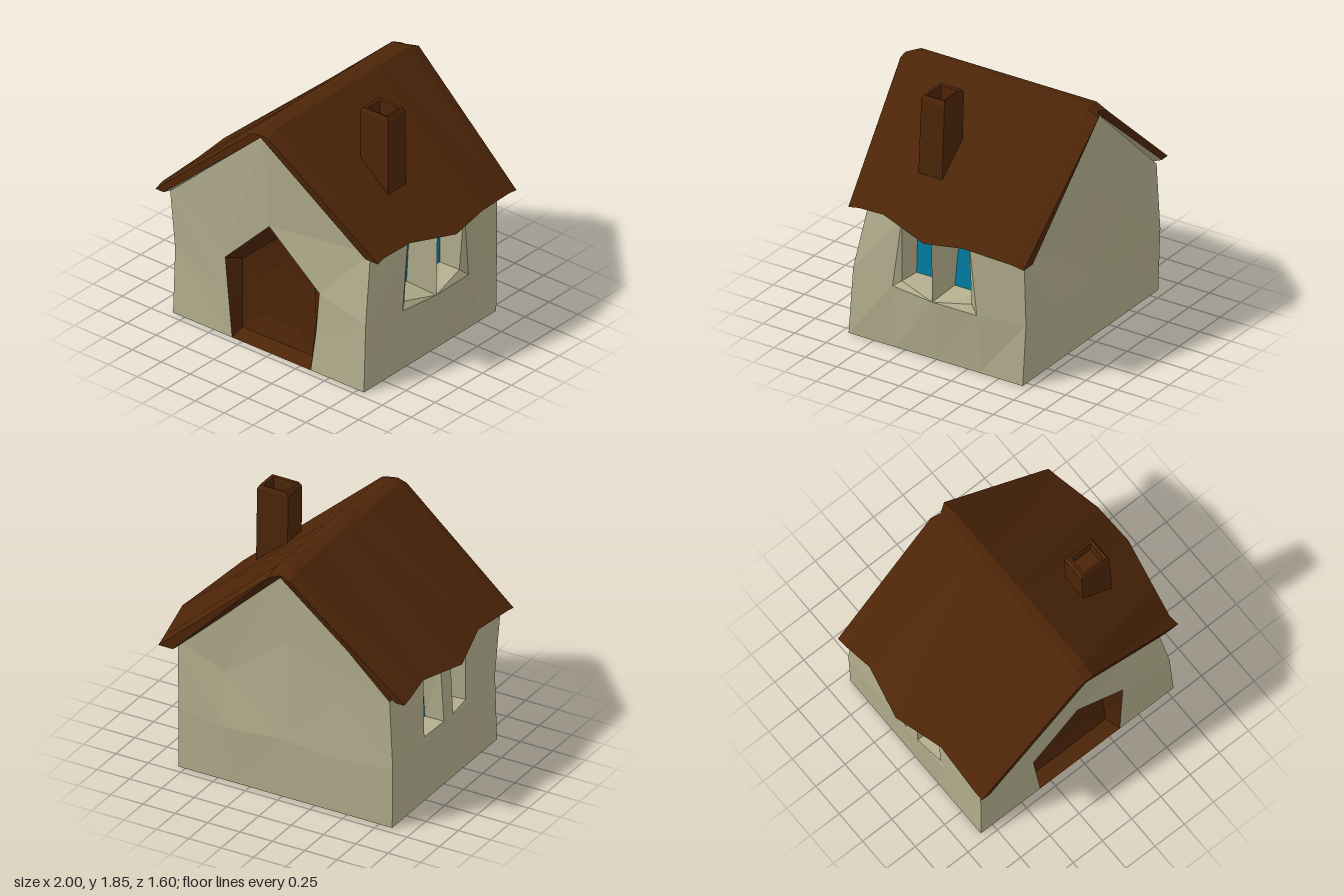
import * as THREE from 'three';

const material = (color) => new THREE.MeshStandardMaterial({ color, flatShading: true, side: THREE.DoubleSide });

// Surface through rows of points; faces point outwards when each next row lies left of travel.
function loft(rows, flip = false) {
  const pos = [];
  const tri = (a, b, c) => pos.push(...a, ...(flip ? c : b), ...(flip ? b : c));
  for (let i = 0; i + 1 < rows.length; i++) {
    for (let j = 0; j + 1 < rows[i].length; j++) {
      const a = rows[i][j], b = rows[i][j + 1], c = rows[i + 1][j + 1], d = rows[i + 1][j];
      tri(a, b, c);
      tri(a, c, d);
    }
  }
  const geo = new THREE.BufferGeometry();
  geo.setAttribute('position', new THREE.Float32BufferAttribute(pos, 3));
  geo.computeVertexNormals();
  return geo;
}

const close = (ring) => [...ring, ring[0]];
const repeat = (p, n) => Array(n).fill(p);

export function createModel() {
  const house = new THREE.Group();
  house.name = 'cottage';
  const plaster = material(0xb2ad8c), wood = material(0x4d2508), glass = material(0x037da5);
  const add = (name, rows, mat, parent = house, flip = false) => {
    const mesh = new THREE.Mesh(loft(rows, flip), mat);
    mesh.name = name;
    parent.add(mesh);
  };

  // Wall outlines: left foot, up over the gable, down to the right foot
  const front = [[-0.85, 0, 0.7], [-0.84, 0.5, 0.69], [-0.87, 0.97, 0.71], [-0.02, 1.74, 0.74],
    [0.75, 1.0, 0.57], [0.79, 0.5, 0.67], [0.8, 0, 0.7]];
  const back = [[-0.85, 0, -0.69], [-0.86, 0.46, -0.7], [-0.83, 0.96, -0.69], [-0.02, 1.73, -0.71],
    [0.8, 0.97, -0.7], [0.79, 0.46, -0.71], [0.8, 0, -0.69]];

  // Front wall around the pointed doorway
  const doorway = [[-0.34, 0, 0.7], [-0.37, 0.3, 0.7], [-0.4, 0.6, 0.7], [-0.02, 0.98, 0.7],
    [0.39, 0.6, 0.67], [0.37, 0.3, 0.68], [0.34, 0, 0.7]];
  add('frontWall', [doorway, front], plaster);

  // Door: splayed frame and slightly dished leaf
  const leaf = [[-0.33, 0.04, 0.6], [-0.33, 0.3, 0.6], [-0.33, 0.57, 0.6], [-0.02, 0.85, 0.6],
    [0.28, 0.57, 0.58], [0.29, 0.3, 0.59], [0.3, 0.04, 0.6]];
  const dish = leaf.map(([x, y]) => [-0.02 + (x + 0.02) * 0.5, 0.35 + (y - 0.35) * 0.55, 0.57]);
  add('doorFrame', [close(leaf), close(doorway)], wood);
  add('door', [repeat([-0.02, 0.32, 0.57], 8), close(dish), close(leaf)], wood);

  // Back wall with uneven facets
  const patch = [[-0.4, 0, -0.69], [-0.42, 0.42, -0.715], [-0.45, 0.82, -0.69], [-0.02, 1.18, -0.69],
    [0.45, 0.82, -0.68], [0.42, 0.42, -0.715], [0.4, 0, -0.69]];
  add('backWall', [close(back), close(patch), repeat([-0.02, 0.45, -0.71], 8)], plaster);
  add('floor', [[back[0], back[6]], [front[0], front[6]]], plaster);

  // Side walls, each with a pair of recessed windows: a wedge-shaped post on the left, a flat one on the right
  const panes = [
    [[0.52, 0.255], [0.95, 0.245], [0.91, 0.04], [0.52, 0.07]],
    [[0.51, -0.05], [0.91, -0.09], [0.94, -0.285], [0.51, -0.28]],
  ];
  const sides = [
    { name: 'left', k: 6, step: -1, foot: 0.8, sill: [0.83, 0.85, 0.84], top: [0.82, 0.86, 0.85],
      glassX: 0.65, inset: 0.03, postFoot: [0, 0.455, 0], postTop: [0, 0] },
    { name: 'right', k: 0, step: 1, foot: -0.85, sill: [-0.86, -0.88, -0.87], top: [-0.86, -0.87, -0.86],
      glassX: -0.73, inset: 0.005, postFoot: [0.065, 0.515, -0.055], postTop: [0.045, -0.085] },
  ];
  for (const s of sides) {
    const g = new THREE.Group();
    g.name = s.name + 'Side';
    house.add(g);
    const flip = s.foot < 0;
    const [f0, f1, f2] = [0, 1, 2].map((i) => front[s.k + s.step * i]);
    const [b0, b1, b2] = [0, 1, 2].map((i) => back[s.k + s.step * i]);
    const foot = [f0, ...[0.33, 0, -0.35].map((z) => [s.foot, 0, z]), b0];
    const sill = [f1, [s.sill[0], 0.475, 0.33], [s.sill[1], 0.455, 0], [s.sill[2], 0.45, -0.35], b1];
    // Feet and heads of the front jamb, the post's two edges and the rear jamb
    const [z1, postY, z2] = s.postFoot;
    const feet = [
      [s.sill[0] + s.step * s.inset, 0.515, 0.275], [s.sill[1], postY, z1],
      [s.sill[1], postY, z2], [s.sill[2] + s.step * s.inset, 0.505, -0.29],
    ];
    const heads = [
      [s.top[0], 1.01, 0.26], [s.top[1], 0.97, s.postTop[0]],
      [s.top[1], 0.97, s.postTop[1]], [s.top[2], 0.99, -0.295],
    ];
    add('lowerWall', [foot, sill], plaster, g, flip);
    add('frontPier', [[f1, sill[1], feet[0]], [f2, heads[0], heads[0]]], plaster, g, flip);
    add('rearPier', [[feet[3], sill[3], b1], [heads[3], heads[3], b2]], plaster, g, flip);
    add('windowLedge', [[sill[1], sill[2], sill[2], sill[3]], feet], plaster, g, flip);
    add('windowPost', [feet.slice(1, 3), heads.slice(1, 3)], plaster, g, flip);
    panes.forEach((pane, i) => {
      const j = i * 2;
      const inner = pane.map(([y, z]) => [s.glassX, y, z]);
      const outer = [feet[j], heads[j], heads[j + 1], feet[j + 1]];
      add('windowReveal', [close(inner), close(outer)], plaster, g, flip);
      add('windowGlass', [[inner[0], inner[3]], [inner[1], inner[2]]], glass, g, flip);
    });
  }

  // Roof stations front to back: left eave x y z, right eave x y z, ridge y, ridge z left/middle/right
  const stations = [
    [-0.92, 0.98, 0.8, 0.88, 1.0, 0.65, 1.73, 0.79, 0.79, 0.785],
    [-0.925, 1.0, 0.72, 0.87, 1.01, 0.57, 1.77, 0.71, 0.71, 0.7],
    [-0.91, 1.03, 0.35, 0.91, 1.04, 0.35, 1.77, 0.35, 0.35, 0.35],
    [-1, 0.97, -0.02, 1, 0.97, -0.03, 1.77, 0, 0, 0],
    [-0.92, 1.01, -0.4, 0.98, 1.01, -0.33, 1.77, -0.35, -0.35, -0.35],
    [-0.945, 0.98, -0.62, 0.92, 0.96, -0.68, 1.77, -0.69, -0.68, -0.71],
    [-0.95, 0.97, -0.7, 0.91, 0.94, -0.77, 1.73, -0.77, -0.75, -0.8],
  ];
  const topRows = stations.map(([lx, ly, lz, rx, ry, rz, y, zl, zm, zr]) => {
    const l = [lx, ly, lz], r = [rx, ry, rz];
    return [l, l, [-0.1, y - 0.02, zl], [-0.03, y, zm], [0.04, y - 0.01, zr], r, r];
  });
  // Underside: level lip at the gable ends, dropping soffit between
  const underRows = stations.map(([lx, ly, lz, rx, ry, rz, y, , zm], i) => {
    const drop = i % 6 ? 0.045 : 0;
    const apex = [-0.02, Math.min(y, 1.75) - 0.02, zm];
    return [[lx, ly, lz], [lx + 0.07, ly - drop, lz], apex, apex, apex, [rx - 0.11, ry - drop, rz], [rx, ry, rz]];
  });
  add('roofTop', topRows, wood);
  add('roofUnderside', [...underRows].reverse(), plaster);
  add('frontRoofEdge', [underRows[0], topRows[0]], wood);
  add('backRoofEdge', [topRows[6], underRows[6]], wood);

  // Hollow chimney: outside up, over the chamfered rim, down into the flue
  const ring = (x0, x1, z0, z1, y) => close([[x0, y, z1], [x1, y, z1], [x1, y, z0], [x0, y, z0]]);
  add('chimney', [
    ring(0.4, 0.64, 0.06, 0.25, 1.2),
    ring(0.385, 0.625, 0.05, 0.235, 1.82),
    ring(0.405, 0.61, 0.06, 0.225, 1.85),
    ring(0.425, 0.59, 0.075, 0.21, 1.845),
    ring(0.43, 0.585, 0.08, 0.205, 1.74),
    repeat([0.51, 1.74, 0.14], 5),
  ], wood);

  return house;
}
